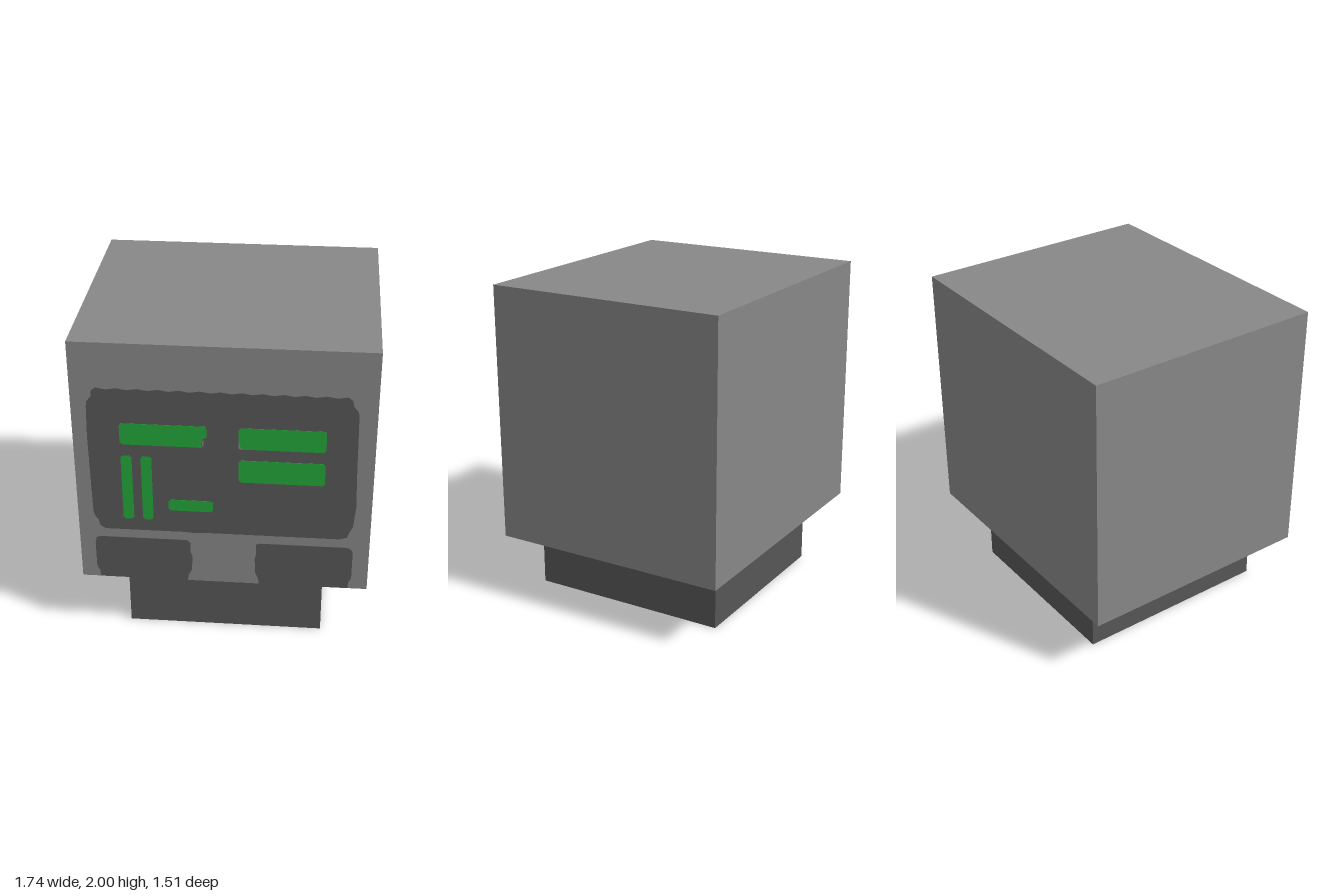
import * as THREE from 'three';

const paint = (name, color) => {
  const m = new THREE.MeshStandardMaterial({ color });
  m.name = name;
  return m;
};

const FRONT = 0.755;

export function createModel() {
  const casing = paint('casing grey', 0x878787);
  const dark = paint('dark grey', 0x565656);
  const green = paint('screen green', 0x22a538);

  const model = new THREE.Group();
  model.name = 'monitor';

  const add = (name, geometry, material, x = 0, y = 0, z = 0) => {
    const mesh = new THREE.Mesh(geometry, material);
    mesh.name = name;
    mesh.position.set(x, y, z);
    model.add(mesh);
    return mesh;
  };

  // thin painted plate on the front, from an outline of [x, y] points
  const plate = (name, points, material, bottom, top) => {
    const shape = new THREE.Shape(points.map(([x, y]) => new THREE.Vector2(x, y)));
    const geometry = new THREE.ExtrudeGeometry(shape, { depth: top - bottom, bevelEnabled: false });
    return add(name, geometry, material, 0, 0, FRONT + bottom);
  };

  // rectangle with small clipped corners
  const bar = (x0, x1, y0, y1, c = 0.014) => [
    [x0 + c, y0], [x1 - c, y0], [x1, y0 + c], [x1, y1 - c],
    [x1 - c, y1], [x0 + c, y1], [x0, y1 - c], [x0, y0 + c],
  ];

  // casing with a dark underside, and the base, set slightly forward
  const casingSides = [casing, casing, casing, dark, casing, casing];
  add('casing', new THREE.BoxGeometry(1.74, 1.6, 1.51), casingSides, 0, 1.2, 0);
  add('base', new THREE.BoxGeometry(1.2, 0.4, 1.27), dark, 0, 0.2, 0.03);

  // screen: bulging sides, scalloped top edge
  const screen = [
    [-0.71, 0.76], [-0.22, 0.76], [-0.17, 0.754], [-0.12, 0.76], [0.69, 0.76],
    [0.735, 0.775], [0.745, 0.81], [0.765, 0.85], [0.778, 0.99],
    [0.772, 1.2], [0.765, 1.6], [0.76, 1.63], [0.735, 1.66], [0.725, 1.7],
  ];
  for (let i = 0; i <= 48; i++) {
    const x = 0.7 - i * (1.42 / 48);
    screen.push([x, 1.715 + 0.005 * Math.cos((i / 4) * Math.PI * 2)]);
  }
  screen.push(
    [-0.745, 1.7], [-0.75, 1.66], [-0.775, 1.63], [-0.78, 1.6], [-0.785, 1.4],
    [-0.778, 0.88], [-0.77, 0.85], [-0.75, 0.82], [-0.74, 0.78],
  );
  plate('screen', screen, dark, 0, 0.002);

  // lower vents
  plate('rightVent', [
    [-0.76, 0.401], [-0.22, 0.401], [-0.215, 0.44], [-0.195, 0.48], [-0.188, 0.58],
    [-0.2, 0.61], [-0.2, 0.68], [-0.22, 0.7], [-0.74, 0.7], [-0.77, 0.69],
    [-0.778, 0.65], [-0.778, 0.48], [-0.76, 0.44],
  ], dark, 0, 0.002);
  plate('leftVent', [
    [0.215, 0.401], [0.755, 0.401], [0.755, 0.44], [0.773, 0.48], [0.773, 0.67],
    [0.755, 0.695], [0.73, 0.7], [0.215, 0.7], [0.195, 0.69], [0.195, 0.62],
    [0.188, 0.58], [0.192, 0.48], [0.21, 0.44],
  ], dark, 0, 0.002);

  // green display marks
  plate('rightTopMark', [
    [-0.58, 1.355], [-0.125, 1.355], [-0.12, 1.41], [-0.095, 1.425], [-0.095, 1.495],
    [-0.585, 1.495], [-0.597, 1.48], [-0.597, 1.37],
  ], green, 0.002, 0.004);
  const marks = [
    ['leftTopMark', 0.09, 0.59, 1.355, 1.495],
    ['leftLowerMark', 0.09, 0.59, 1.13, 1.28],
    ['outerUprightMark', -0.597, -0.533, 0.84, 1.28],
    ['innerUprightMark', -0.48, -0.417, 0.84, 1.28],
    ['smallMark', -0.325, -0.06, 0.912, 0.988],
  ];
  for (const [name, x0, x1, y0, y1] of marks) {
    plate(name, bar(x0, x1, y0, y1), green, 0.002, 0.004);
  }

  // tiny pale chips beside the upper marks
  plate('rightChip', [[-0.122, 1.365], [-0.112, 1.365], [-0.112, 1.405], [-0.118, 1.405]], casing, 0.002, 0.005);
  plate('leftChip', [[0.088, 1.36], [0.115, 1.353], [0.098, 1.375], [0.09, 1.405]], casing, 0.002, 0.005);

  return model;
}
